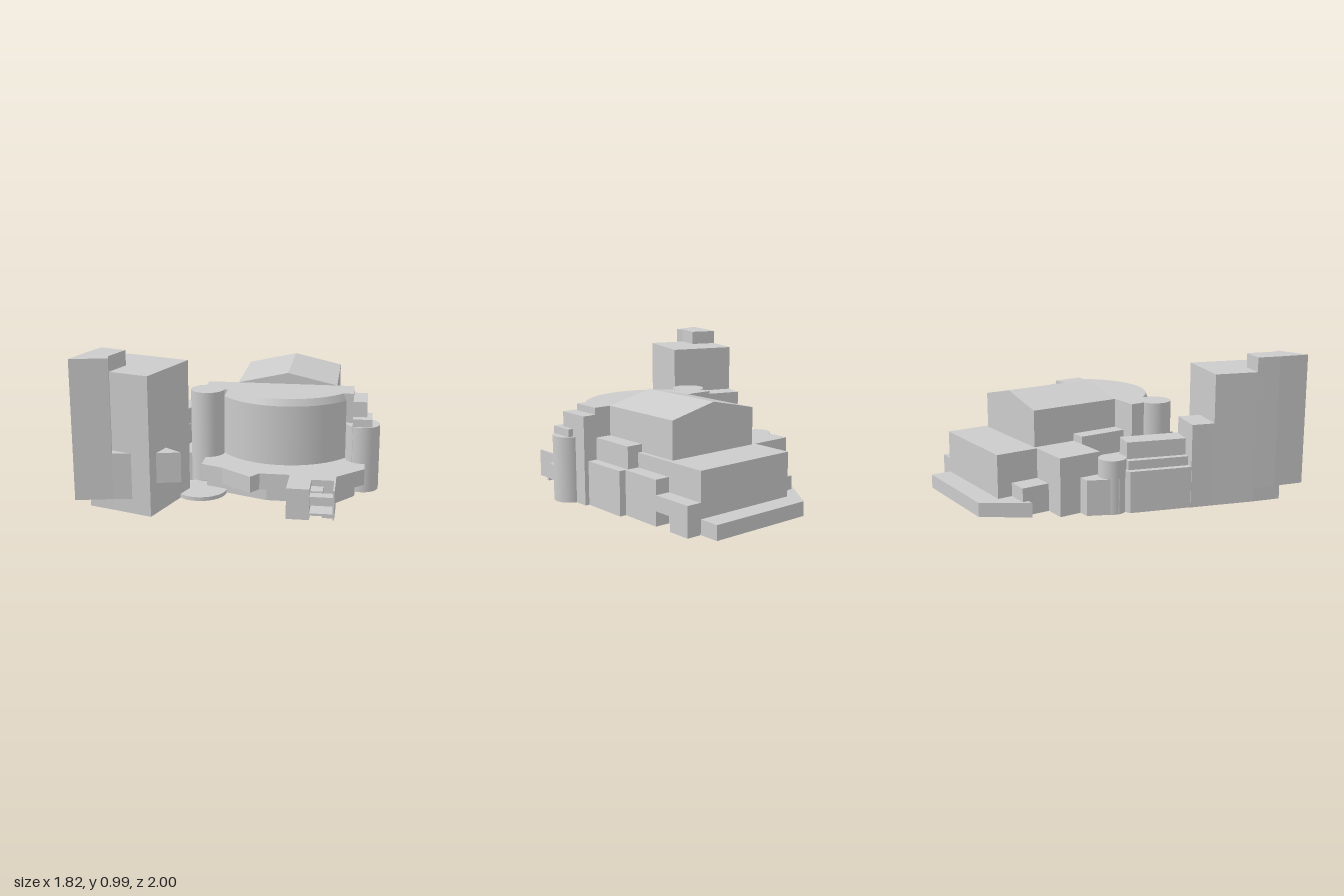
import * as THREE from 'three';

export function createModel() {
  const model = new THREE.Group();
  const material = new THREE.MeshStandardMaterial({ color: 0xcccccc, side: THREE.DoubleSide });
  const GROUND = 0.015;

  function add(name, geometry) {
    const mesh = new THREE.Mesh(geometry, material);
    mesh.name = name;
    model.add(mesh);
    return mesh;
  }
  // upright prism over a ground plan of [x, z] corners
  function prism(name, plan, y0, y1) {
    const shape = new THREE.Shape(plan.map(([x, z]) => new THREE.Vector2(x, -z)));
    const g = new THREE.ExtrudeGeometry(shape, { depth: y1 - y0, bevelEnabled: false });
    g.rotateX(-Math.PI / 2).translate(0, y0, 0);
    return add(name, g);
  }
  function block(name, x0, x1, z0, z1, y1, y0 = GROUND) {
    const g = new THREE.BoxGeometry(x1 - x0, y1 - y0, z1 - z0);
    g.translate((x0 + x1) / 2, (y0 + y1) / 2, (z0 + z1) / 2);
    return add(name, g);
  }
  function column(name, x, z, r, y1) {
    const g = new THREE.CylinderGeometry(r, r, y1 - GROUND, 40);
    g.translate(x, (y1 + GROUND) / 2, z);
    return add(name, g);
  }

  // gabled main hall
  const gable = new THREE.Shape([[-0.045, GROUND], [0.62, GROUND], [0.62, 0.645], [0.29, 0.72], [-0.045, 0.645]]
    .map(([x, y]) => new THREE.Vector2(x, y)));
  add('mainHall', new THREE.ExtrudeGeometry(gable, { depth: 0.635, bevelEnabled: false }).translate(0, 0, -0.57));
  block('hallPlinth', -0.075, 0.65, -0.57, 0.065, 0.4);

  // rear steps
  block('rearStep', -0.075, 0.65, -0.86, -0.57, 0.4);
  prism('rearTerrace', [[-0.075, -1], [0.65, -1], [0.65, -0.86], [0.65, -0.6], [-0.22, -0.6], [-0.22, -0.72], [-0.27, -0.72]], GROUND, 0.11);
  block('rearSmallBlock', -0.22, -0.075, -0.76, -0.57, 0.2);

  // left flank
  block('leftRearBlock', 0.65, 0.75, -0.86, -0.7, 0.21);
  block('leftBridge', 0.65, 0.75, -0.7, -0.57, 0.21, 0.11);
  block('leftMiddleBlock', 0.6, 0.75, -0.57, -0.27, 0.305);
  block('leftOuterBlock', 0.6, 0.795, -0.27, 0.065, 0.305);
  block('leftUpperBlock', 0.6, 0.73, -0.27, 0.065, 0.45);

  // right flank
  block('rightRearBlock', -0.365, -0.075, -0.57, -0.27, 0.4);
  block('rightUpperBlock', -0.15, -0.04, -0.27, 0.065, 0.45);
  block('rightOuterBlock', -0.22, -0.04, -0.27, 0.065, 0.3);
  prism('courtyardBlock', [[-0.37, -0.27], [-0.2, -0.27], [-0.2, 0.3], [-0.46, 0.3], [-0.5, 0.1]], GROUND, 0.21);

  // curved front drum with a bevelled rim
  const half = Math.asin(0.4 / 0.493);
  function sector(name, rTop, rBottom, y0, y1) {
    const g = new THREE.CylinderGeometry(rTop, rBottom, y1 - y0, 48, 1, false, -half, half * 2);
    add(name, g.translate(0.29, (y0 + y1) / 2, -0.018));
  }
  sector('drumWall', 0.493, 0.493, GROUND, 0.6);
  sector('drumRim', 0.475, 0.493, 0.6, 0.645);

  // shoulders and columns beside the drum
  block('frontShoulders', -0.245, 0.735, 0.065, 0.27, 0.645);
  block('leftShoulderStep', 0.735, 0.825, 0.065, 0.3, 0.6);
  block('leftColumnCap', 0.735, 0.86, 0.19, 0.36, 0.5);
  column('leftColumn', 0.8, 0.27, 0.11, 0.45);
  column('rightColumn', -0.22, 0.27, 0.11, 0.645);

  // overhanging plaza and its recessed base
  prism('plaza', [[-0.22, 0.2], [-0.22, 0.52], [-0.08, 0.575], [0.12, 0.72], [0.17, 0.65], [0.36, 0.65],
    [0.36, 0.89], [0.5, 0.89], [0.5, 0.65], [0.645, 0.65], [0.82, 0.48], [0.82, 0.2]], 0.105, 0.21);
  prism('plazaBase', [[-0.2, 0.2], [-0.2, 0.45], [0.07, 0.55], [0.21, 0.6], [0.64, 0.6], [0.76, 0.45], [0.76, 0.2]], GROUND, 0.105);
  column('roundPad', -0.225, 0.51, 0.165, 0.04);

  // entrance stair
  block('stairPier', 0.36, 0.5, 0.65, 0.89, 0.21);
  block('stairLanding', 0.5, 0.645, 0.65, 0.72, 0.21, 0.16);
  block('stairUpperTread', 0.5, 0.575, 0.72, 0.81, 0.17, 0.14);
  block('stairLowerTread', 0.5, 0.64, 0.81, 0.88, 0.16, 0.105);
  block('stairFloor', 0.5, 0.64, 0.65, 0.88, 0.055, 0.04);
  block('stairSideWall', 0.64, 0.65, 0.65, 0.89, 0.21, 0.02);
  block('stairFoot', 0.575, 0.645, 0.79, 0.81, 0.05, 0);

  // slanted wing behind the tower
  column('wingColumn', -0.437, -0.225, 0.09, 0.37);
  prism('wingEndBlock', [[-0.44, -0.42], [-0.365, -0.42], [-0.365, -0.2], [-0.53, -0.23]], GROUND, 0.25);
  prism('wingBase', [[-0.55, -0.16], [-0.5, -0.18], [-0.29, -0.18], [-0.44, 0.3], [-0.3, 0.51], [-0.72, 0.37]], GROUND, 0.29);
  prism('wingLedge', [[-0.51, -0.15], [-0.32, -0.09], [-0.43, 0.3], [-0.63, 0.24]], 0.29, 0.35);
  prism('wingRoofBlock', [[-0.465, -0.13], [-0.32, -0.085], [-0.44, 0.3], [-0.59, 0.25]], 0.35, 0.46);
  prism('wingStep', [[-0.68, 0.23], [-0.44, 0.305], [-0.49, 0.455], [-0.725, 0.375]], GROUND, 0.57);

  // tower pair
  prism('tower', [[-0.725, 0.375], [-0.3, 0.515], [-0.45, 0.97], [-0.7, 0.89], [-0.645, 0.71], [-0.815, 0.65]], GROUND, 0.89);
  prism('tallTower', [[-0.815, 0.65], [-0.645, 0.71], [-0.7, 0.89], [-0.685, 0.95], [-0.91, 1], [-0.86, 0.8]], 0.11, 0.985);
  prism('tallTowerFoot', [[-0.815, 0.65], [-0.645, 0.71], [-0.7, 0.89], [-0.865, 0.84]], GROUND, 0.11);
  prism('towerInfill', [[-0.7, 0.89], [-0.57, 0.93], [-0.685, 0.95]], 0.11, 0.4);
  prism('towerBay', [[-0.39, 0.79], [-0.28, 0.87], [-0.425, 0.905]], 0.21, 0.4);

  return model;
}
